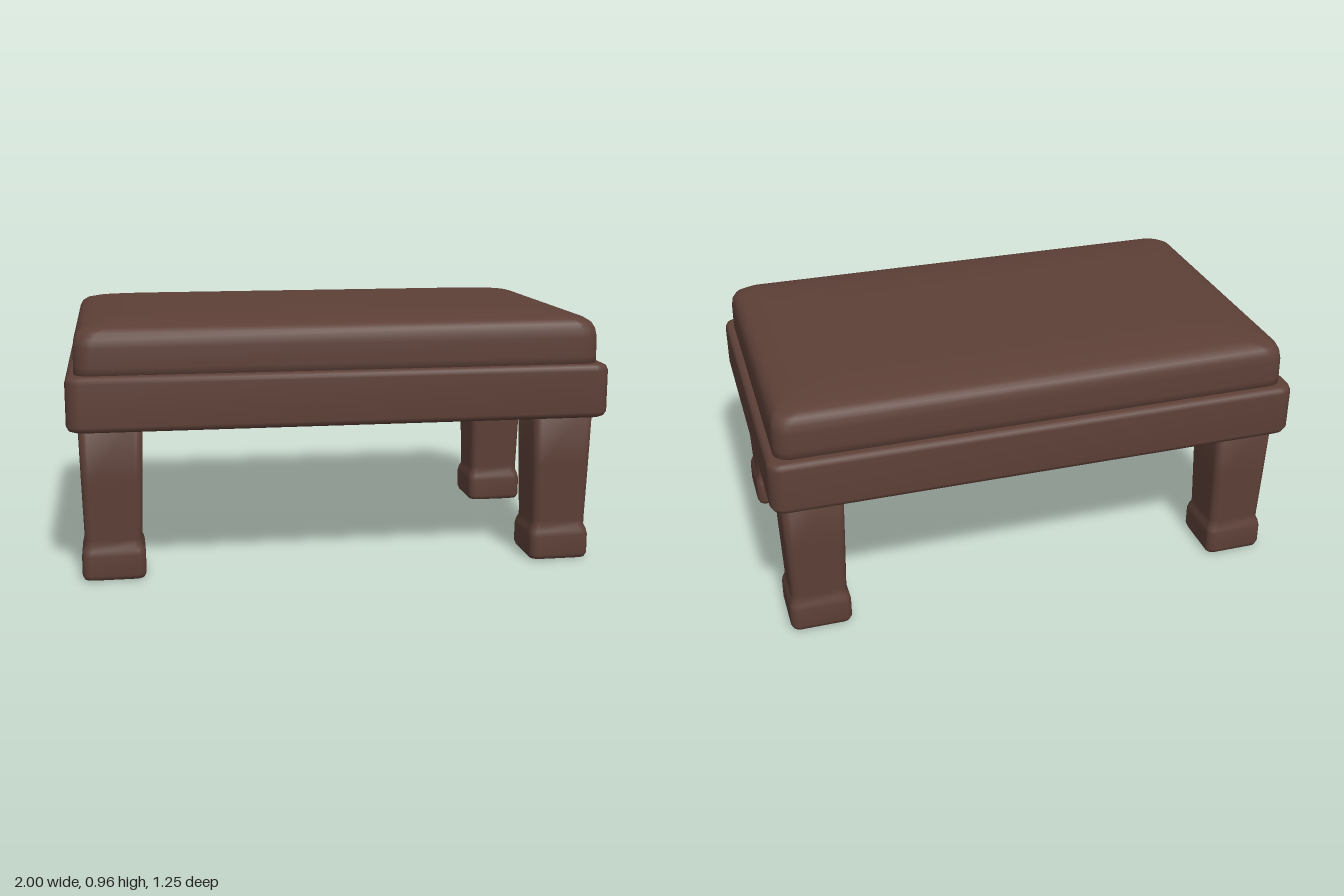
import * as THREE from 'three';

const brown = new THREE.MeshStandardMaterial({ color: 0x5d4037 });
brown.name = 'dark brown';

// Lofts rounded rectangles [y, halfX, halfZ, cornerRadius] into a closed, smooth solid.
function loftRoundedRects(rings, steps = 6) {
  const positions = [];
  const indices = [];
  const n = 4 * (steps + 1);
  const signs = [[1, 1], [-1, 1], [-1, -1], [1, -1]];
  for (const [y, hx, hz, r] of rings) {
    signs.forEach(([sx, sz], corner) => {
      for (let i = 0; i <= steps; i++) {
        const a = (corner + i / steps) * Math.PI / 2;
        positions.push(sx * (hx - r) + r * Math.cos(a), y, sz * (hz - r) + r * Math.sin(a));
      }
    });
  }
  for (let k = 0; k < rings.length - 1; k++) {
    for (let i = 0; i < n; i++) {
      const j = (i + 1) % n;
      const a = k * n + i, b = k * n + j, c = a + n, d = b + n;
      indices.push(a, c, b, b, c, d);
    }
  }
  // Close both ends with fans
  const last = (rings.length - 1) * n;
  const bottom = positions.length / 3;
  positions.push(0, rings[0][0], 0, 0, rings[rings.length - 1][0], 0);
  for (let i = 0; i < n; i++) {
    const j = (i + 1) % n;
    indices.push(bottom, i, j, bottom + 1, last + j, last + i);
  }
  const geometry = new THREE.BufferGeometry();
  geometry.setAttribute('position', new THREE.Float32BufferAttribute(positions, 3));
  geometry.setIndex(indices);
  geometry.computeVertexNormals();
  return geometry;
}

function part(name, rings) {
  const mesh = new THREE.Mesh(loftRoundedRects(rings), brown);
  mesh.name = name;
  return mesh;
}

export function createModel() {
  const group = new THREE.Group();
  group.name = 'footstool';

  // Frame with softened edges and a shallow recess underneath
  group.add(part('frame', [
    [0.61, 0.94, 0.565, 0.03],
    [0.605, 0.95, 0.575, 0.03],
    [0.58, 0.953, 0.578, 0.03],
    [0.572, 0.962, 0.587, 0.035],
    [0.572, 0.978, 0.603, 0.04],
    [0.578, 0.992, 0.617, 0.05],
    [0.595, 1.0, 0.625, 0.05],
    [0.75, 1.0, 0.625, 0.05],
    [0.766, 0.994, 0.619, 0.05],
    [0.773, 0.98, 0.605, 0.045],
    [0.773, 0.95, 0.57, 0.04],
  ]));

  // Padded seat with a gently crowned top
  group.add(part('cushion', [
    [0.75, 0.968, 0.586, 0.06],
    [0.8, 0.969, 0.587, 0.06],
    [0.87, 0.968, 0.586, 0.06],
    [0.9, 0.964, 0.582, 0.065],
    [0.922, 0.953, 0.572, 0.07],
    [0.937, 0.932, 0.552, 0.08],
    [0.946, 0.9, 0.52, 0.09],
    [0.954, 0.85, 0.46, 0.1],
    [0.961, 0.79, 0.4, 0.1],
    [0.965, 0.73, 0.34, 0.1],
    [0.966, 0.5, 0.2, 0.08],
  ]));

  // Four tapered legs with blocky feet
  const legRings = [
    [0.007, 0.095, 0.1, 0.025],
    [0.012, 0.109, 0.113, 0.028],
    [0.028, 0.116, 0.119, 0.03],
    [0.1, 0.116, 0.119, 0.03],
    [0.12, 0.112, 0.115, 0.03],
    [0.138, 0.104, 0.107, 0.03],
    [0.16, 0.104, 0.107, 0.03],
    [0.38, 0.11, 0.115, 0.03],
    [0.62, 0.116, 0.122, 0.03],
  ];
  for (const [side, x] of [['Left', 0.846], ['Right', -0.846]]) {
    for (const [end, z] of [['front', 0.444], ['back', -0.444]]) {
      const leg = part(`${end}${side}Leg`, legRings);
      leg.position.set(x, 0, z);
      group.add(leg);
    }
  }
  return group;
}
